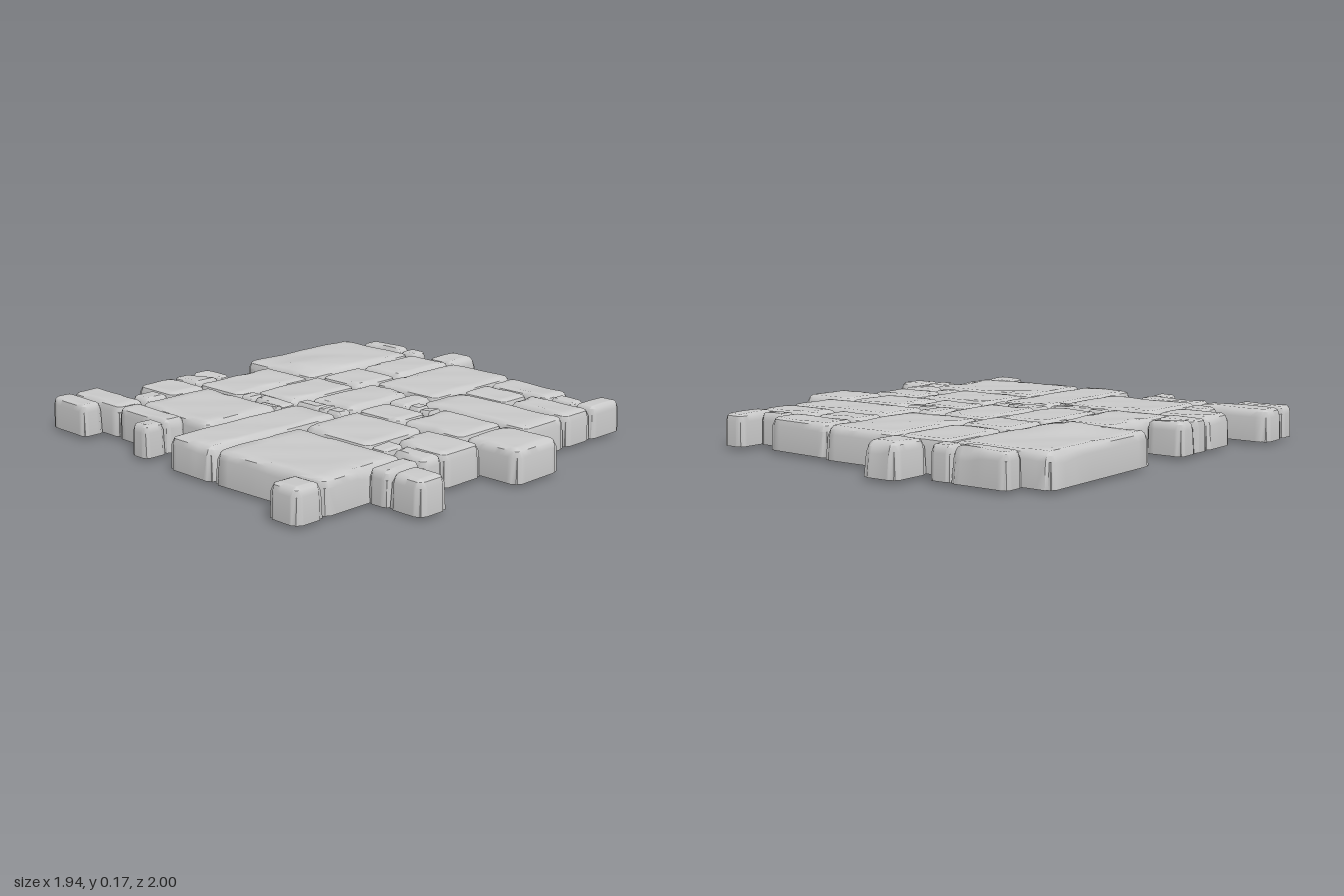
import * as THREE from 'three';
import { toCreasedNormals } from 'three/addons/utils/BufferGeometryUtils.js';

const BASE = 0.013, TOP = 0.15, N = 16;

// Stones as [x0, x1, z0, z1, back-edge slant, front-edge slant]
const slabs = [
  [-0.87, -0.415, -0.815, -0.15], [-0.15, 0.225, -0.815, -0.275],
  [-0.41, -0.15, -0.81, -0.445], [-0.41, -0.15, -0.445, -0.19],
  [0.225, 0.80, -0.43, -0.17], [-0.155, 0.105, -0.275, 0.12],
  [0.36, 0.69, -0.175, 0.10], [0.69, 0.97, -0.165, 0.10],
  [-0.415, -0.16, -0.19, 0.20], [-0.705, -0.415, -0.15, 0.285],
  [-0.615, -0.14, 0.285, 0.67, 0, 0.02], [-0.14, 0.125, 0.20, 0.89],
  [0.125, 0.515, 0.105, 0.44], [0.515, 0.80, 0.10, 0.325],
  [0.13, 0.71, 0.44, 0.89, 0, -0.03],
];
const blocks = [
  [-0.745, -0.49, -0.91, -0.81], [-0.31, -0.145, -1, -0.805],
  [0.225, 0.57, -0.79, -0.61, 0.02], [0.70, 0.805, -0.805, -0.605],
  [0.225, 0.475, -0.61, -0.43], [0.475, 0.80, -0.61, -0.43],
  [0.105, 0.225, -0.27, -0.085], [0.11, 0.36, -0.085, 0.105],
  [-0.87, -0.705, 0.08, 0.20, 0, -0.065], [-0.87, -0.705, 0.20, 0.285, -0.065],
  [-0.87, -0.615, 0.285, 0.49], [-0.745, -0.62, 0.49, 0.62],
  [-0.97, -0.62, 0.62, 0.77], [-0.965, -0.73, 0.77, 0.87],
  [-0.62, -0.295, 0.665, 0.775], [0.70, 0.80, 0.44, 0.635],
  [0.795, 0.96, 0.48, 0.63], [0.56, 0.715, 0.86, 1],
];
const chips = [
  [-0.49, -0.39, -0.905, -0.81], [0.57, 0.70, -0.695, -0.61],
  [0.225, 0.30, -0.165, -0.085], [0.30, 0.36, -0.12, -0.08, -0.05],
  [-0.39, -0.295, 0.775, 0.88], [-0.415, -0.335, 0.20, 0.285],
  [-0.335, -0.135, 0.20, 0.285], [-0.255, -0.135, 0.28, 0.32],
  [-0.155, -0.015, 0.12, 0.20], [-0.015, 0.025, 0.12, 0.20],
  [0.025, 0.115, 0.115, 0.20], [0.515, 0.61, 0.325, 0.44],
  [0.61, 0.80, 0.325, 0.44],
];

// Smooth unevenness that differs with each seed
const wave = (x, z, s) =>
  (Math.sin(x * 11 + z * 5 + s * 2.3) + Math.sin(z * 13 - x * 7 + s * 4.1) + Math.sin((x + z) * 23 + s)) / 3;

// A worn stone shell, open underneath: grid rings become wall, shoulder, bevel and top
function stoneGeometry([x0, x1, z0, z1, backSlant = 0, frontSlant = 0], seed, base, swell = 0) {
  const w = x1 - x0, d = z1 - z0;
  const bevel = Math.min(0.03, 0.2 * Math.min(w, d));
  const inset = [0, 0.12 * bevel, 0.4 * bevel, bevel];
  const ringY = [base, 0.116, 0.14, TOP];
  const along = (i, size) => {
    const k = Math.min(i, N - i);
    if (k <= 3) return i < N / 2 ? inset[k] : size - inset[k];
    return bevel + (size - 2 * bevel) * (i - 3) / (N - 6);
  };
  const geo = new THREE.PlaneGeometry(1, 1, N, N);
  const pos = geo.attributes.position;
  for (let j = 0; j <= N; j++) for (let i = 0; i <= N; i++) {
    const ring = Math.min(i, j, N - i, N - j, 4);
    let u = along(i, w) / w, v = along(j, d) / d;
    // Pull the four corners in to round the plan
    const cu = Math.min(i, N - i), cv = Math.min(j, N - j);
    if (cu <= 2 && cv <= 2) {
      const pull = bevel * 0.28;
      u += (u < 0.5 ? pull : -pull) / w;
      v += (v < 0.5 ? pull : -pull) / d;
    }
    const n = wave(x0 + u * w, z0 + v * d, seed);
    // Worn rim: chips eat into the bevel here and there
    const wear = Math.max(0, n - 0.25);
    if (ring > 0 && ring < 4) {
      u += (0.5 - u) * wear * bevel * 0.7 / w;
      v += (0.5 - v) * wear * bevel * 0.7 / d;
    }
    let y = ringY[Math.min(ring, 3)];
    if (ring >= 3) y += 0.004 * n;
    if (ring === 3) y -= 0.012 * wear;
    if (ring === 2 || ring === 1) y -= 0.025 * wear;
    if (ring === 4) y += swell * Math.exp(-18 * ((u - 0.6) ** 2 + (v - 0.78) ** 2));
    const back = z0 + backSlant * u, front = z1 + frontSlant * u;
    pos.setXYZ(j * (N + 1) + i, x0 + u * w, y, back + (front - back) * v);
  }
  geo.deleteAttribute('uv');
  geo.deleteAttribute('normal');
  return toCreasedNormals(geo, 0.75);
}

export function createModel() {
  const model = new THREE.Group();
  model.name = 'stonePaving';
  const material = new THREE.MeshStandardMaterial({ color: 0xcccccc, side: THREE.DoubleSide });
  let seed = 1;
  for (const [name, list] of Object.entries({ slab: slabs, block: blocks, chip: chips })) {
    const group = new THREE.Group();
    group.name = name + 's';
    list.forEach((stone, i) => {
      // The narrowest chip reaches the ground; the first slab swells a little
      const base = name === 'chip' && i === 9 ? 0 : BASE;
      const swell = name === 'slab' && i === 0 ? 0.02 : 0;
      const mesh = new THREE.Mesh(stoneGeometry(stone, seed++, base, swell), material);
      mesh.name = `${name}${i + 1}`;
      group.add(mesh);
    });
    model.add(group);
  }
  return model;
}
